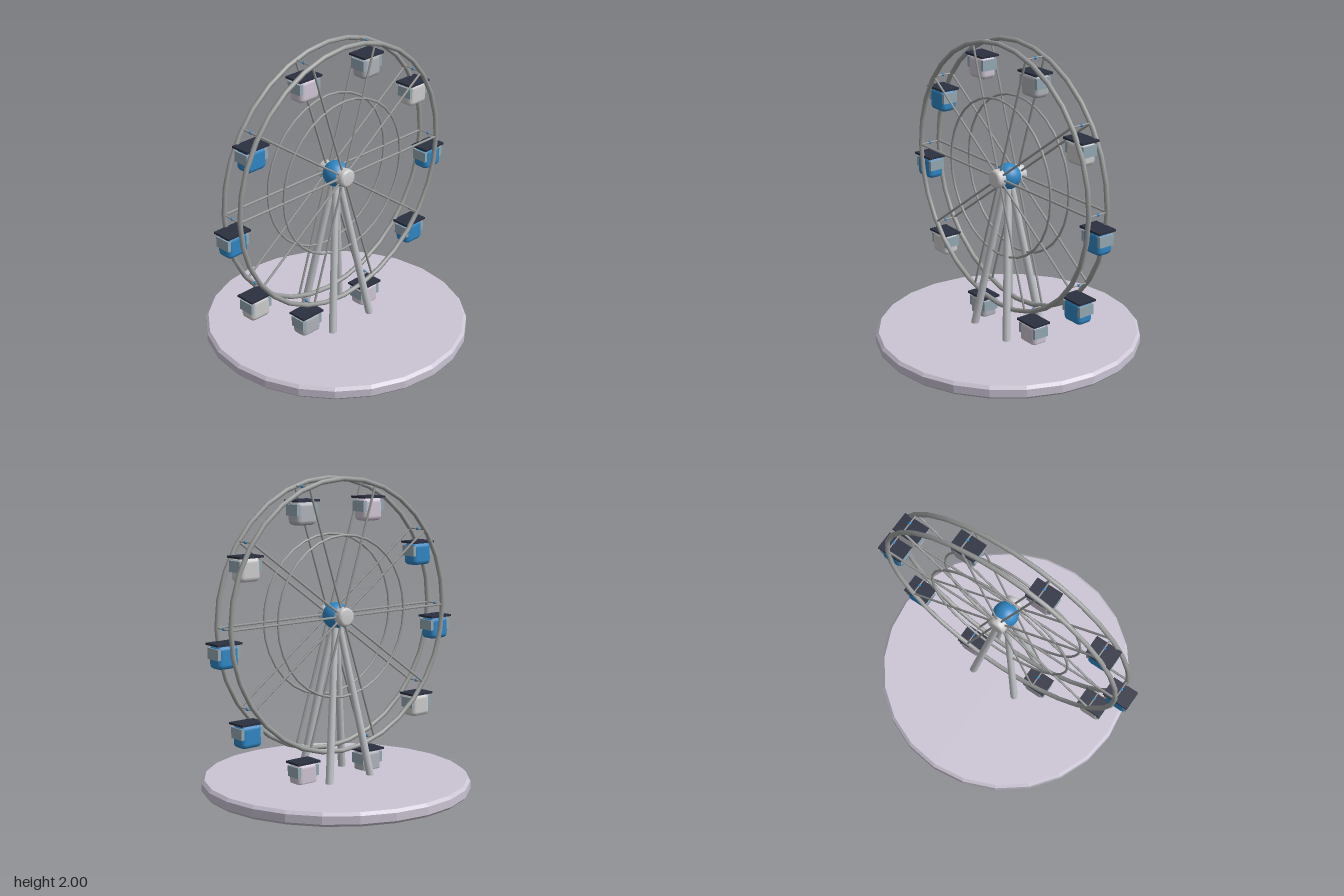
import * as THREE from 'three';
import { RoundedBoxGeometry } from 'three/addons/geometries/RoundedBoxGeometry.js';

const HUB_Y = 1.12, RIM_R = 0.86, RIM_Z = 0.071, CABINS = 10;

const mat = (color, flatShading = false) => new THREE.MeshStandardMaterial({ color, flatShading });
const M = {
  base: mat(0xcbc4d4, true), steel: mat(0x999b9b), leg: mat(0xbfc2c6), axle: mat(0xd6d4d8),
  blue: mat(0x2f86c4), white: mat(0xcccccc), grey: mat(0xaeb2b8), lilac: mat(0xcdc4d2),
  glass: mat(0x93a8b2), roof: mat(0x2b3040),
};

function part(parent, name, geometry, material, x = 0, y = 0, z = 0) {
  const mesh = new THREE.Mesh(geometry, material);
  mesh.name = name;
  mesh.position.set(x, y, z);
  parent.add(mesh);
  return mesh;
}

// Round bar between two points
function bar(parent, name, a, b, rA, rB, material, sides = 8) {
  const from = new THREE.Vector3(...a), to = new THREE.Vector3(...b);
  const dir = to.clone().sub(from);
  const mesh = part(parent, name, new THREE.CylinderGeometry(rB, rA, dir.length(), sides), material);
  mesh.position.copy(from).add(to).multiplyScalar(0.5);
  mesh.quaternion.setFromUnitVectors(new THREE.Vector3(0, 1, 0), dir.normalize());
  return mesh;
}

const lathe = (pts, sides) =>
  new THREE.LatheGeometry(pts.map(([r, y]) => new THREE.Vector2(r, y)), sides);

// Gondola, origin at its pivot on the rim
function createCabin(material) {
  const cabin = new THREE.Group();
  cabin.name = 'cabin';
  part(cabin, 'cabinBody', new RoundedBoxGeometry(0.152, 0.146, 0.114, 2, 0.03), material, 0, -0.161, 0);
  part(cabin, 'cabinWindows', new THREE.BoxGeometry(0.165, 0.068, 0.106), M.glass, 0, -0.14, 0);
  part(cabin, 'cabinRoof', new THREE.BoxGeometry(0.176, 0.013, 0.13), M.roof, 0, -0.084, 0);
  part(cabin, 'cabinPivot', new THREE.SphereGeometry(0.01, 8, 6), M.blue);
  bar(cabin, 'crossBar', [0, 0, -RIM_Z], [0, 0, RIM_Z], 0.005, 0.005, M.steel, 6);
  return cabin;
}

export function createModel() {
  const model = new THREE.Group();
  model.name = 'ferrisWheel';

  // Round platform with bevelled edges
  part(model, 'base', lathe([[0, 0], [0.842, 0], [0.86, 0.018], [0.86, 0.068], [0.842, 0.087], [0, 0.087]], 24), M.base);

  // Four splayed legs meeting at the hub
  for (const sx of [-1, 1]) for (const sz of [-1, 1])
    bar(model, 'supportLeg', [sx * 0.17, 0.08, sz * 0.143], [sx * 0.01, HUB_Y - 0.02, sz * 0.008], 0.026, 0.021, M.leg, 10);

  const wheel = new THREE.Group();
  wheel.name = 'wheel';
  wheel.position.y = HUB_Y;
  model.add(wheel);

  // Hub ball and bevelled axle
  part(wheel, 'hub', new THREE.SphereGeometry(0.084, 20, 14), M.blue);
  const axle = part(wheel, 'axle',
    lathe([[0, -0.115], [0.042, -0.115], [0.056, -0.109], [0.06, -0.095],
      [0.06, 0.095], [0.056, 0.109], [0.042, 0.115], [0, 0.115]], 16), M.axle);
  axle.rotation.x = Math.PI / 2;

  // Paired rims, inner rings and spokes
  for (const z of [-RIM_Z, RIM_Z]) {
    part(wheel, 'outerRim', new THREE.TorusGeometry(RIM_R, 0.0155, 8, 32), M.steel, 0, 0, z);
    part(wheel, 'innerRing', new THREE.TorusGeometry(0.511, 0.008, 6, 32), M.steel, 0, 0, z);
    for (let i = 0; i < CABINS; i++) {
      const a = (i / CABINS) * Math.PI * 2, c = Math.cos(a), s = Math.sin(a);
      bar(wheel, 'spoke', [c * 0.04, s * 0.04, z], [c * RIM_R, s * RIM_R, z], 0.0075, 0.0075, M.steel, 6);
    }
  }

  // Gondolas hang upright around the rim
  const paints = [M.blue, M.white, M.grey, M.lilac, M.blue];
  for (let i = 0; i < CABINS; i++) {
    const a = (i / CABINS) * Math.PI * 2;
    const cabin = createCabin(paints[i % paints.length]);
    cabin.position.set(Math.cos(a) * RIM_R, Math.sin(a) * RIM_R, 0);
    wheel.add(cabin);
  }
  return model;
}
